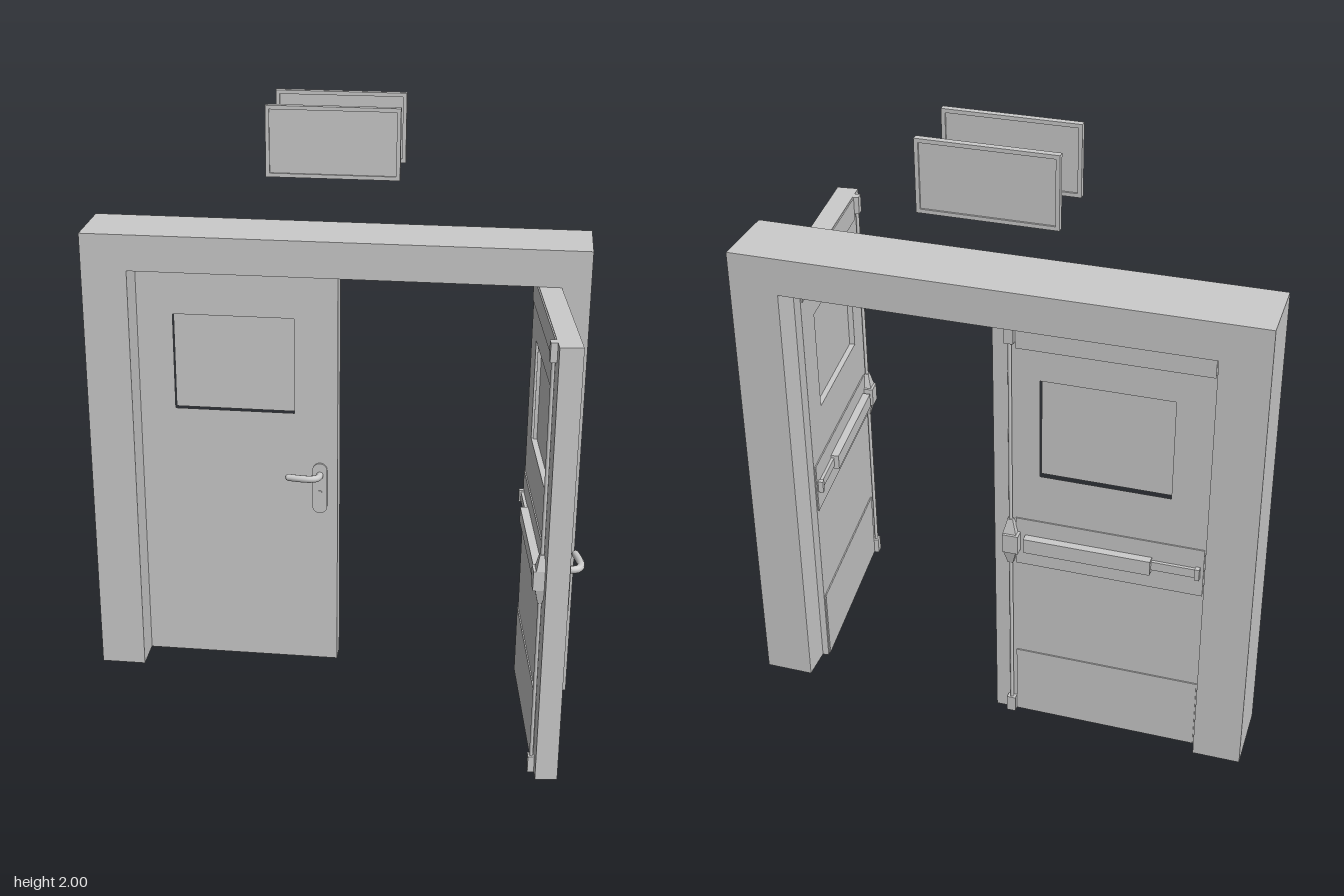
import * as THREE from 'three';

const mat = new THREE.MeshStandardMaterial({ color: 0xcccccc, flatShading: true });
const smooth = new THREE.MeshStandardMaterial({ color: 0xcccccc });
const openMat = new THREE.MeshStandardMaterial({ color: 0xcccccc, flatShading: true, side: THREE.DoubleSide });

const DOOR_W = 0.67, DOOR_H = 1.45, DOOR_T = 0.07;

function add(parent, name, geometry, material = mat) {
  const mesh = new THREE.Mesh(geometry, material);
  mesh.name = name;
  parent.add(mesh);
  return mesh;
}

// Box given by its limits on each axis, in any order
function box(parent, name, [x0, x1], [y0, y1], [z0, z1]) {
  const g = new THREE.BoxGeometry(Math.abs(x1 - x0), Math.abs(y1 - y0), Math.abs(z1 - z0));
  g.translate((x0 + x1) / 2, (y0 + y1) / 2, (z0 + z1) / 2);
  return add(parent, name, g);
}

function rectPath(Type, x0, x1, y0, y1) {
  return new Type([[x0, y0], [x1, y0], [x1, y1], [x0, y1]].map(p => new THREE.Vector2(...p)));
}

// Rectangular slab with a rectangular hole, from z0 to z1
function slabWithHole(parent, name, outer, hole, z0, z1) {
  const shape = rectPath(THREE.Shape, ...outer);
  shape.holes.push(rectPath(THREE.Path, ...hole));
  const g = new THREE.ExtrudeGeometry(shape, { depth: z1 - z0, bevelEnabled: false });
  return add(parent, name, g.translate(0, 0, z0));
}

// Surround: two jambs and a lintel, with the undersides of the jambs left open
function doorFrame() {
  const pts = [[-0.82, 0], [-0.67, 0], [-0.67, 1.45], [0.65, 1.45], [0.65, 0], [0.805, 0], [0.805, 1.57], [-0.82, 1.57]];
  const shape = new THREE.Shape(pts.map(p => new THREE.Vector2(...p)));
  const g = new THREE.ExtrudeGeometry(shape, { depth: 0.23, bevelEnabled: false }).toNonIndexed();
  const p = g.attributes.position, kept = [];
  for (let i = 0; i < p.count; i += 3) {
    if (Math.max(p.getY(i), p.getY(i + 1), p.getY(i + 2)) < 0.001) continue;
    for (let k = i; k < i + 3; k++) kept.push(p.getX(k), p.getY(k), p.getZ(k) - 0.383);
  }
  const open = new THREE.BufferGeometry();
  open.setAttribute('position', new THREE.Float32BufferAttribute(kept, 3));
  open.computeVertexNormals();
  const mesh = new THREE.Mesh(open, openMat);
  mesh.name = 'doorFrame';
  return mesh;
}

// Lever handle with rounded plate and lock cylinder, on the front face
function leverHandle(s) {
  const group = new THREE.Group();
  group.name = 'leverHandle';
  const r = 0.025, x = s * 0.06;
  const plate = new THREE.Shape();
  plate.absarc(x, 0.732, r, 0, Math.PI);
  plate.absarc(x, 0.597, r, Math.PI, Math.PI * 2);
  add(group, 'handlePlate', new THREE.ExtrudeGeometry(plate, { depth: 0.007, bevelEnabled: false, curveSegments: 10 }));
  const path = new THREE.CatmullRomCurve3([
    [0.06, 0], [0.06, 0.02], [0.068, 0.036], [0.09, 0.044], [0.125, 0.043], [0.162, 0.037],
  ].map(([px, pz]) => new THREE.Vector3(s * px, 0.715, pz)));
  add(group, 'lever', new THREE.TubeGeometry(path, 24, 0.012, 10), smooth);
  const tip = add(group, 'leverTip', new THREE.SphereGeometry(0.012, 10, 8), smooth);
  tip.position.set(s * 0.162, 0.715, 0.037);
  const lock = add(group, 'lockCylinder', new THREE.CylinderGeometry(0.008, 0.008, 0.01, 12).rotateX(Math.PI / 2));
  lock.position.set(x, 0.65, 0.005);
  return group;
}

// Push bar with vertical rods and latches, on the back face
function panicBar(s) {
  const group = new THREE.Group();
  group.name = 'panicBar';
  const b = -DOOR_T, rodX = s * 0.055;
  box(group, 'pushBar', [s * 0.1, s * 0.5], [0.662, 0.712], [b, b - 0.03]);
  box(group, 'barRail', [s * 0.5, s * 0.645], [0.672, 0.702], [b, b - 0.014]);
  box(group, 'barEnd', [s * 0.635, s * 0.65], [0.667, 0.707], [b, b - 0.02]);
  box(group, 'latchBox', [s * 0.035, s * 0.085], [0.655, 0.72], [b, b - 0.035]);
  for (const dir of [-1, 1]) {
    const taper = new THREE.CylinderGeometry(0.012, 0.03, 0.05, 4, 1).rotateY(Math.PI / 4);
    taper.scale(1, 1, 0.8);
    if (dir < 0) taper.rotateX(Math.PI);
    add(group, 'latchTaper', taper).position.set(rodX, 0.6875 + dir * 0.057, b - 0.01);
  }
  const rod = new THREE.CylinderGeometry(0.006, 0.006, DOOR_H - 0.06, 8);
  add(group, 'verticalRod', rod, smooth).position.set(rodX, DOOR_H / 2, b - 0.009);
  for (const [y0, y1] of [[0.0, 0.055], [DOOR_H - 0.06, DOOR_H]]) {
    box(group, 'rodLatch', [rodX - 0.014, rodX + 0.014], [y0, y1], [b, b - 0.02]);
  }
  return group;
}

// Door leaf: free edge at x = 0, hinge edge at s * DOOR_W, front at z = 0
function doorLeaf(name, s) {
  const group = new THREE.Group();
  group.name = name;
  const hole = [s * 0.145, s * 0.55, 0.935, 1.27];
  slabWithHole(group, 'leaf', [0, s * DOOR_W, 0, DOOR_H], hole, -DOOR_T, 0);
  box(group, 'windowPane', hole.slice(0, 2), hole.slice(2), [-0.052, -0.018]);
  // Shallow plates across the back
  for (const ys of [[0.003, 0.25], [0.6, 0.77], [1.37, DOOR_H - 0.003]]) {
    box(group, 'backPlate', [s * 0.07, s * (DOOR_W - 0.01)], ys, [-DOOR_T, -DOOR_T - 0.004]);
  }
  group.add(leverHandle(s), panicBar(s));
  return group;
}

// Thin sign board with a raised border on both faces
function signBoard(name, z) {
  const group = new THREE.Group();
  group.name = name;
  const hole = [-0.198, 0.193, 1.79, 1.988];
  slabWithHole(group, 'signBorder', [-0.21, 0.205, 1.778, 2], hole, -0.01, 0.01);
  box(group, 'signPanel', hole.slice(0, 2), hole.slice(2), [-0.004, 0.004]);
  group.position.z = z;
  return group;
}

export function createModel() {
  const model = new THREE.Group();
  model.name = 'doubleDoor';

  const closed = doorLeaf('closedDoor', -1);
  closed.position.z = -0.27;

  const open = doorLeaf('openDoor', 1);
  open.position.set(0.775, 0, 0.381);
  open.rotation.y = THREE.MathUtils.degToRad(96.5);

  model.add(doorFrame(), closed, open, signBoard('frontSign', -0.144), signBoard('backSign', -0.368));
  // The whole assembly leans back very slightly
  model.rotation.x = -0.005;

  const root = new THREE.Group();
  root.name = 'doorway';
  root.add(model);
  return root;
}
